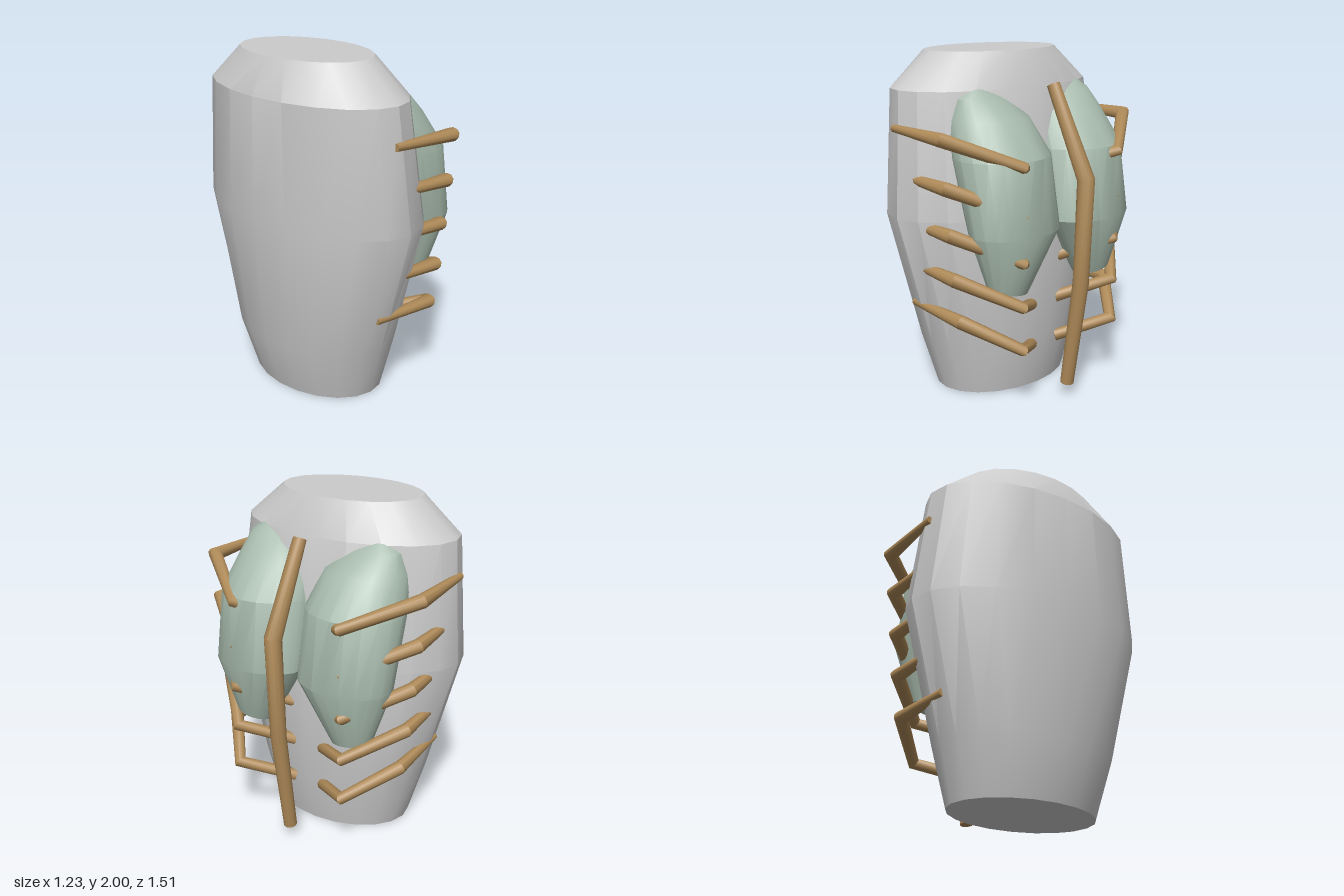
import * as THREE from 'three';
import { toCreasedNormals } from 'three/addons/utils/BufferGeometryUtils.js';

// Closed skin over rings of points (each ring counter-clockwise about the travel direction)
function loft(rings, crease) {
  const n = rings[0].length, pos = [];
  const tri = (...pts) => pts.forEach((p) => pos.push(p.x, p.y, p.z));
  const centre = (r) => r.reduce((s, p) => s.add(p), new THREE.Vector3()).divideScalar(n);
  const first = rings[0], last = rings[rings.length - 1];
  const c0 = centre(first), c1 = centre(last);
  for (let j = 0; j < n; j++) {
    const k = (j + 1) % n;
    for (let i = 0; i < rings.length - 1; i++) {
      const a = rings[i], b = rings[i + 1];
      tri(a[j], a[k], b[k]);
      tri(a[j], b[k], b[j]);
    }
    tri(c0, first[k], first[j]);
    tri(c1, last[j], last[k]);
  }
  const geo = new THREE.BufferGeometry();
  geo.setAttribute('position', new THREE.Float32BufferAttribute(pos, 3));
  return toCreasedNormals(geo, crease);
}

// Elliptical ring lying flat, optionally sloping in z
function ellipse(y, cx, rx, cz, rz, n, slope = 0) {
  return Array.from({ length: n }, (_, j) => {
    const t = (j / n) * Math.PI * 2;
    const dz = -rz * Math.sin(t);
    return new THREE.Vector3(cx + rx * Math.cos(t), y + slope * dz, cz + dz);
  });
}

// Round bar along a bent path with mitred joints and a radius per point
function bar(points, radii, sides = 10) {
  const p = points.map((a) => new THREE.Vector3(...a));
  const dirs = p.slice(1).map((q, i) => q.clone().sub(p[i]).normalize());
  const d0 = dirs[0];
  const u = new THREE.Vector3(0, 0, 1).cross(d0).normalize();
  const v = d0.clone().cross(u);
  let offs = Array.from({ length: sides }, (_, j) => {
    const t = (j / sides) * Math.PI * 2;
    return u.clone().multiplyScalar(Math.cos(t)).addScaledVector(v, Math.sin(t));
  });
  const rings = p.map((q, i) => {
    const din = dirs[Math.max(0, i - 1)], dout = dirs[Math.min(i, dirs.length - 1)];
    const nrm = din.clone().add(dout);
    const mitred = offs.map((o) => o.clone().addScaledVector(din, -o.dot(nrm) / din.dot(nrm)));
    offs = mitred.map((o) => o.clone().addScaledVector(dout, -o.dot(dout)));
    return mitred.map((o) => o.clone().multiplyScalar(radii[i]).add(q));
  });
  return loft(rings, 0.7);
}

export function createModel() {
  const group = new THREE.Group();
  const grey = new THREE.MeshStandardMaterial({ color: 0xcccccc });
  const green = new THREE.MeshStandardMaterial({ color: 0xa9bcae });
  const bone = new THREE.MeshStandardMaterial({ color: 0xae8a58 });
  const add = (name, geo, mat) => {
    const mesh = new THREE.Mesh(geo, mat);
    mesh.name = name;
    group.add(mesh);
  };

  // Torso: y, centre x, half depth, half width
  const torso = [
    [0, -0.13, 0.32, 0.45],
    [0.33, -0.145, 0.405, 0.545],
    [1.1, -0.16, 0.455, 0.755],
    [1.8, -0.205, 0.395, 0.685],
    [2, -0.21, 0.29, 0.445],
  ];
  add('torso', loft(torso.map(([y, cx, rx, rz]) => ellipse(y, cx, rx, 0, rz, 20)), 0.45), grey);

  // Lungs: y, centre x, half depth, centre z, half width
  const lung = [
    [0.69, 0.3, 0.095, 0.345, 0.125],
    [1.04, 0.3, 0.205, 0.293, 0.292],
    [1.45, 0.2, 0.255, 0.297, 0.293],
    [1.65, 0.09, 0.22, 0.3, 0.24],
    [1.76, 0.07, 0.115, 0.345, 0.15],
    [1.815, 0.07, 0.04, 0.365, 0.05],
  ];
  for (const s of [1, -1]) {
    const rings = lung.map(([y, cx, rx, cz, rz], i) =>
      ellipse(y, cx, rx, s * cz, rz, 20, i === 0 ? 0.14 * s : 0));
    add(s > 0 ? 'frontLung' : 'backLung', loft(rings, 0.5), green);
  }

  // Breastbone
  add('breastbone', bar(
    [[0.44, 0.08, 0], [0.535, 0.72, 0], [0.56, 1.32, 0], [0.305, 1.82, 0]],
    [0.04, 0.047, 0.05, 0.038], 12), bone);

  // Ribs: height, z of the rear end, z of the outer bend
  const ribs = [
    [1.58, 0.7, 0.715],
    [1.315, 0.67, 0.69],
    [1.05, 0.645, 0.66],
    [0.795, 0.615, 0.635],
    [0.545, 0.585, 0.6],
  ];
  ribs.forEach(([y, zRear, zBend], i) => {
    for (const s of [1, -1]) {
      const push = i === 0 && s < 0 ? 0.022 : 0;
      add(s > 0 ? 'frontRib' : 'backRib', bar([
        [-0.235, y + 0.012, s * zRear],
        [0.19 + push, y, s * zBend],
        [0.445 + push, y - 0.155, s * 0.37],
        [0.24, y - 0.255, s * 0.1],
      ], [0.022, 0.04, 0.033, 0.035]), bone);
    }
  });

  return group;
}
